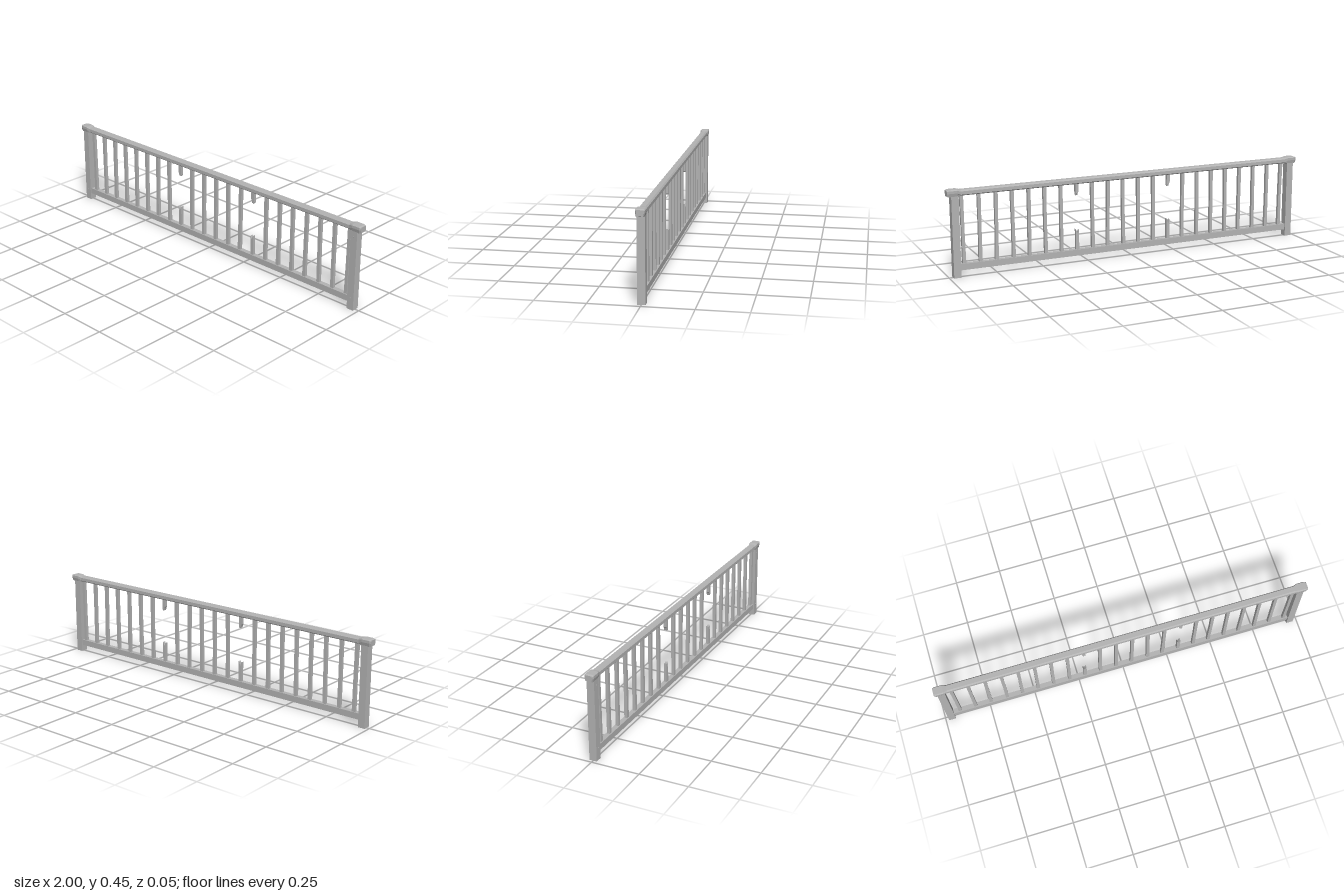
import * as THREE from 'three';

// Loft flat-sided skin through closed rings of [x, y, z] points, with capped ends
function loft(rings) {
  const pos = [], n = rings[0].length;
  const tri = (a, b, c) => pos.push(...a, ...b, ...c);
  for (let r = 0; r < rings.length - 1; r++) {
    for (let i = 0; i < n; i++) {
      const j = (i + 1) % n, A = rings[r], B = rings[r + 1];
      tri(A[i], A[j], B[j]);
      tri(A[i], B[j], B[i]);
    }
  }
  const first = rings[0], last = rings[rings.length - 1];
  for (let i = 1; i < n - 1; i++) {
    tri(first[0], first[i + 1], first[i]);
    tri(last[0], last[i], last[i + 1]);
  }
  const g = new THREE.BufferGeometry();
  g.setAttribute('position', new THREE.Float32BufferAttribute(pos, 3));
  g.computeVertexNormals();
  return g;
}

let seed = 7;
const jitter = (amount) => {
  seed = (seed * 16807) % 2147483647;
  return (seed / 2147483647 - 0.5) * 2 * amount;
};

export function createModel() {
  const model = new THREE.Group();
  model.name = 'railing';
  const wood = new THREE.MeshStandardMaterial({ color: 0xb4b4b4 });
  wood.name = 'grey wood';

  const add = (name, geometry, x = 0, y = 0, z = 0, parent = model) => {
    const mesh = new THREE.Mesh(geometry, wood);
    mesh.name = name;
    mesh.position.set(x, y, z);
    parent.add(mesh);
    return mesh;
  };

  // End posts, each with two small nails on the front
  for (const [side, x] of [['right', -0.965], ['left', 0.96]]) {
    add(side + 'Post', new THREE.BoxGeometry(0.038, 0.42, 0.039), x, 0.21, 0);
    for (const y of [0.063, 0.39]) {
      const nail = new THREE.CylinderGeometry(0.0025, 0.0025, 0.005, 6).rotateX(Math.PI / 2);
      add(side + 'PostNail', nail, x, y, 0.0205);
    }
  }

  // Handrail: chamfered profile that swells into a cap above each post
  const rail = [[-0.014, 0.419], [-0.019, 0.424], [-0.019, 0.441], [-0.013, 0.448],
    [0.013, 0.448], [0.019, 0.441], [0.019, 0.424], [0.014, 0.419]];
  const cap = [[-0.019, 0.416], [-0.0235, 0.434], [-0.0235, 0.447], [-0.019, 0.452],
    [0.019, 0.452], [0.0235, 0.447], [0.0235, 0.434], [0.019, 0.416]];
  const ring = (profile, x, k = 1) => profile.map(([z, y]) => [x, 0.434 + (y - 0.434) * k, z * k]);
  add('handrail', loft([
    ring(cap, -1, 0.82), ring(cap, -0.99), ring(cap, -0.95), ring(rail, -0.93),
    ring(rail, 0.93), ring(cap, 0.95), ring(cap, 0.99), ring(cap, 1, 0.82),
  ]));

  // Bottom rail
  add('bottomRail', new THREE.BoxGeometry(1.9, 0.032, 0.026), 0, 0.052, 0);

  // Balusters, each slightly crooked; two are snapped in the middle
  const W = 0.009, D = 0.008, bottom = 0.062, top = 0.424;
  const square = (x, y, w = W, d = D) =>
    [[x - w, y, d], [x + w, y, d], [x + w, y, -d], [x - w, y, -d]];

  // Splintered stump: a stepped outline extruded through its depth
  const stump = (name, x, base, dir, lengths) => {
    const s = new THREE.Shape();
    s.moveTo(-W, base);
    lengths.forEach((l, i) => s.lineTo(-W + (2 * W * i) / (lengths.length - 1), base + dir * l));
    s.lineTo(W, base);
    const g = new THREE.ExtrudeGeometry(s, { depth: 2 * D, bevelEnabled: false });
    add(name, g, x, 0, -D);
  };

  const count = 22;
  for (let i = 0; i < count; i++) {
    const x = -0.912 + (i * 1.834) / (count - 1);
    if (i === 8 || i === 14) {
      stump('brokenBalusterTop', x, top, -1, [0.045, 0.052, 0.066, 0.055, 0.068, 0.062]);
      stump('brokenBalusterBottom', x, bottom, 1, [0.112, 0.104, 0.092, 0.1, 0.11, 0.115]);
      continue;
    }
    const lean = jitter(0.0025), bow = jitter(0.0015);
    add('baluster', loft([
      square(x - lean, bottom), square(x + bow, 0.24, W - 0.001), square(x + lean, top),
    ]));
  }
  return model;
}
